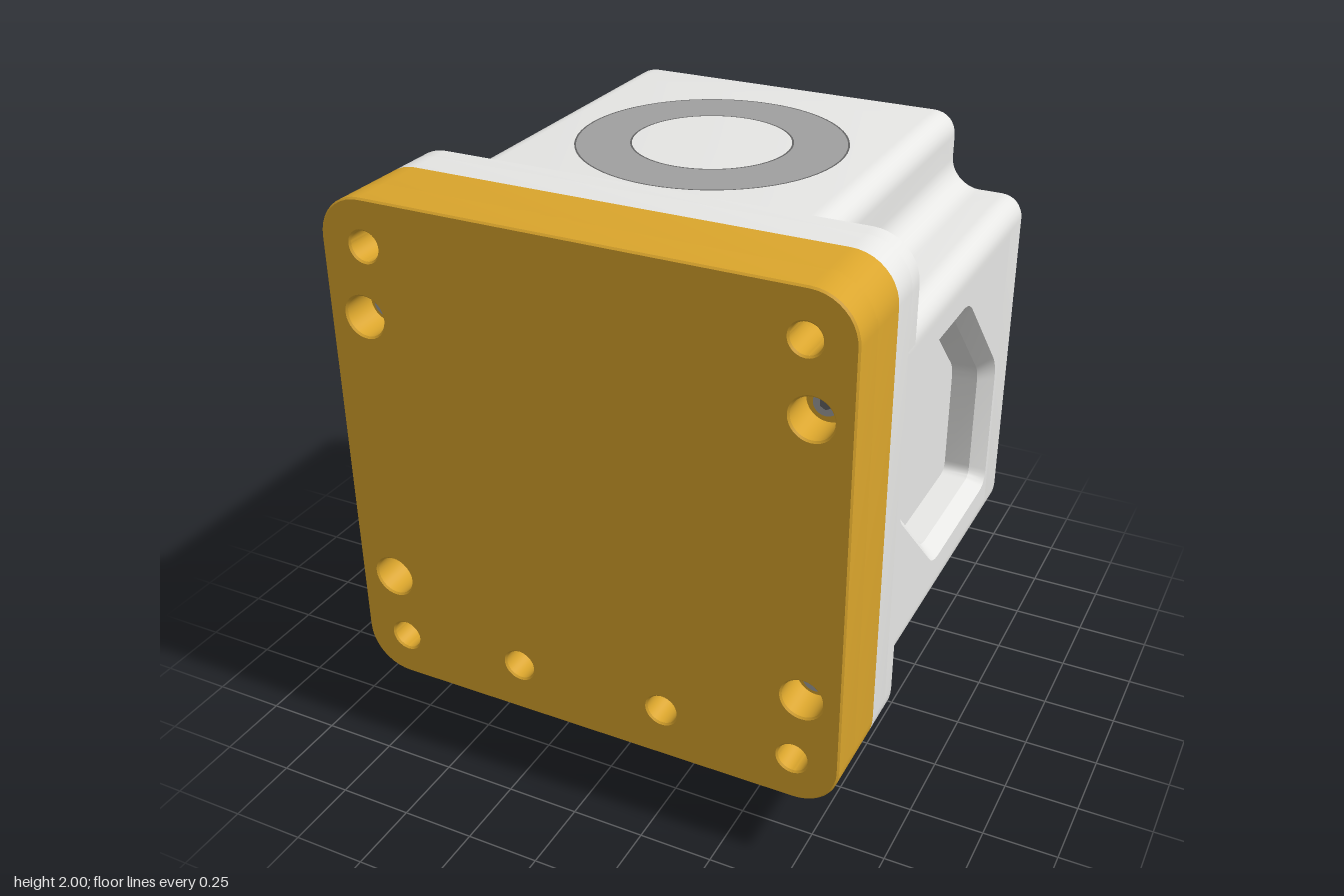
import * as THREE from 'three';
import { toCreasedNormals } from 'three/addons/utils/BufferGeometryUtils.js';

const V = (x, y) => new THREE.Vector2(x, y);
const material = (name, color, side = THREE.FrontSide) => {
  const m = new THREE.MeshStandardMaterial({ color, side });
  m.name = name;
  return m;
};

// outlines
const arc = (cx, cy, r, a0, a1, n = 8) => Array.from({ length: n + 1 }, (_, i) => {
  const a = (a0 + (a1 - a0) * i / n) * Math.PI / 180;
  return V(cx + r * Math.cos(a), cy + r * Math.sin(a));
});
const circle = (x, y, r, n = 32) => arc(x, y, r, 0, 360, n).slice(0, n);
const roundPoly = (corners, r, n = 6) => corners.flatMap((p, i) => {
  const prev = corners[(i + corners.length - 1) % corners.length], next = corners[(i + 1) % corners.length];
  const a = p.clone().add(prev.clone().sub(p).setLength(r)), b = p.clone().add(next.clone().sub(p).setLength(r));
  return new THREE.QuadraticBezierCurve(a, p, b).getPoints(n);
});
const rect = (cx, cy, w, h, r) =>
  roundPoly([V(cx - w, cy - h), V(cx + w, cy - h), V(cx + w, cy + h), V(cx - w, cy + h)], r);

// repeats one corner four times; recessed cuts shallow bays into both sides
const FLOOR = 0.735, BAY = 0.52, HALF = 0.875;
const fourCorners = (corner, recessed) => [0, 1, 2, 3].flatMap(k => {
  const bay = recessed && k % 2 === 0
    ? [V(HALF, -BAY), V(FLOOR, -BAY), V(FLOOR, BAY), V(HALF, BAY)] : [];
  const s = [0, 1, 0, -1][k], c = [1, 0, -1, 0][k];
  return [...bay, ...corner].map(p => V(p.x * c - p.y * s, p.x * s + p.y * c));
});
const squareOutline = recessed => fourCorners(arc(HALF - 0.15, HALF - 0.15, 0.15, 0, 90, 10), recessed);
const bodyOutline = (inset, recessed) => {
  const a = HALF - inset, b = 0.615 - inset, r = 0.08 - inset, R = 0.1 + inset;
  return fourCorners([
    ...arc(a - r, b - r, r, 0, 90),
    ...arc(b + R, b + R, R, 270, 180),
    ...arc(b - r, a - r, r, 0, 90),
  ], recessed);
};

// geometry helpers
const shapeOf = (pts, holes = []) => {
  const s = new THREE.Shape(pts);
  s.holes = holes.map(h => new THREE.Path(h));
  return s;
};
const extrude = (pts, z0, z1, holes = [], bevel = 0) => {
  const g = new THREE.ExtrudeGeometry(shapeOf(pts, holes), {
    depth: z1 - z0 - 2 * bevel, bevelEnabled: bevel > 0, bevelSize: bevel,
    bevelThickness: bevel, bevelOffset: -bevel, bevelSegments: bevel > 0.01 ? 4 : 1,
  });
  return toCreasedNormals(g.translate(0, 0, z0 + bevel), 0.36);
};
const loft = loops => {
  const n = loops[0].length, idx = [];
  for (let j = 0; j < loops.length - 1; j++) for (let i = 0; i < n; i++) {
    const a = j * n + i, b = j * n + (i + 1) % n;
    idx.push(a, b, b + n, a, b + n, a + n);
  }
  const g = new THREE.BufferGeometry();
  g.setAttribute('position', new THREE.Float32BufferAttribute(loops.flat().flatMap(p => [p.x, p.y, p.z]), 3));
  g.setIndex(idx);
  return toCreasedNormals(g, 0.6);
};
const at = (pts, z) => pts.map(p => new THREE.Vector3(p.x, p.y, z));

export function createModel() {
  const light = material('light grey casing', 0xe6e6e4, THREE.DoubleSide);
  const gold = material('gold plate', 0xdaa52c);
  const mid = material('mid grey metal', 0xa0a0a0);
  const charcoal = material('charcoal', 0x646464);
  const black = material('black plastic', 0x444444);

  const model = new THREE.Group();
  const cube = new THREE.Group();
  cube.name = 'cubeHousing';
  cube.position.y = 1.125;
  model.add(cube);
  const add = (name, geo, mat, parent = cube) => {
    const m = new THREE.Mesh(geo, mat);
    m.name = name;
    parent.add(m);
    return m;
  };
  // cylinder along z, centred at z
  const stud = (name, x, y, z, r, depth, mat, sides = 32) =>
    add(name, new THREE.CylinderGeometry(r, r, depth, sides).rotateX(Math.PI / 2).translate(x, y, z), mat);

  const pairs = (x, y) => [[x, y], [-x, y], [x, -y], [-x, -y]];
  const holesAt = (list, r) => list.map(([x, y]) => circle(x, y, r));
  const cornerHoles = holesAt(pairs(0.72, 0.72), 0.05);
  const plateScrews = pairs(0.745, 0.4825);
  const lowScrews = [[0.265, -0.695], [-0.265, -0.695]];

  // front plate with counterbored screws
  const lowHoles = holesAt(lowScrews, 0.052);
  add('frontPlateBase', extrude(squareOutline(), 0.58, 0.75, [...cornerHoles, ...lowHoles]), gold);
  add('frontPlate', extrude(squareOutline(), 0.735, 0.873,
    [...cornerHoles, ...lowHoles, ...holesAt(plateScrews, 0.068)], 0.006), gold);
  for (const [x, y] of [...plateScrews, ...lowScrews]) {
    stud('screwHead', x, y, 0.73, 0.04, 0.08, mid);
    stud('screwSocket', x, y, 0.768, 0.02, 0.008, charcoal, 6);
  }

  // mounting flange and ears
  add('flange', extrude(squareOutline(), 0.47, 0.58, cornerHoles), light);
  add('flangeEars', extrude(squareOutline(true), 0.41, 0.47, cornerHoles), light);

  // main body: recessed middle, rounded rear shell and pierced rear wall
  add('bodyMiddle', extrude(bodyOutline(0, true), -0.55, 0.47), light);
  const B = 0.075;
  const rounded = Array.from({ length: 7 }, (_, i) => {
    const a = i / 6 * Math.PI / 2;
    return at(bodyOutline(B * (1 - Math.sin(a))), -0.74 + B * (1 - Math.cos(a)));
  });
  add('rearShell', loft([...rounded, at(bodyOutline(0), -0.55)]), light);
  const bossHoles = holesAt(pairs(0.31, 0.31), 0.075);
  add('rearWall', extrude(bodyOutline(B), -0.74, -0.55,
    [...bossHoles, ...holesAt(lowScrews, 0.052), rect(0, -0.695, 0.135, 0.036, 0.035)]), light);
  for (const [x, y] of lowScrews) {
    stud('rearScrew', x, y, -0.68, 0.044, 0.06, mid);
    stud('rearScrewSocket', x, y, -0.71, 0.022, 0.008, charcoal, 6);
  }

  // side faces with six-cornered pockets
  const pocket = i => {
    const w = 0.49 - i, h = 0.4475 - i, s = 0.535 - 1.414 * i;
    const c = [[-w, h], [s - h, h], [w, s - w], [w, -h], [h - s, -h], [-w, w - s]];
    return roundPoly(c.map(([x, y]) => V(x + 0.035, y)), 0.06 - 0.4 * i);
  };
  const face = new THREE.ShapeGeometry(shapeOf(rect(0.04, 0, 0.51, BAY, 0.001), [pocket(0)]))
    .translate(0, 0, HALF).rotateY(Math.PI / 2);
  const walls = loft([at(pocket(0.05), FLOOR), at(pocket(0.045), HALF - 0.05), at(pocket(0), HALF)].reverse())
    .rotateY(Math.PI / 2);
  for (const side of [1, -1]) {
    add('sideFace', face, light).scale.x = side;
    add('sidePocketWalls', walls, light).scale.x = side;
  }

  // rear output boss with flared foot
  const flare = [...arc(0.65, 0.82, 0.08, 270, 180), V(0.57, 0.83)];
  add('bossFlare', new THREE.LatheGeometry(flare, 64).rotateX(-Math.PI / 2), light);
  add('boss', extrude(circle(0, 0, 0.57, 64), -0.83, -0.735,
    [circle(0, 0, 0.36, 48), ...bossHoles, rect(0, -0.495, 0.022, 0.05, 0.02)]), light);
  add('bossKey', new THREE.BoxGeometry(0.042, 0.105, 0.1).translate(0, 0.495, -0.825), light);
  stud('hubFloor', 0, 0, -0.75, 0.36, 0.02, mid, 48);
  add('hubRing', extrude(circle(0, 0, 0.345, 48), -0.815, -0.745, [circle(0, 0, 0.305, 48)]), mid);
  const hubBolts = [0, 1, 2, 3, 4, 5].map(k =>
    [0.19 * Math.sin(k * Math.PI / 3), 0.19 * Math.cos(k * Math.PI / 3)]);
  add('hub', extrude(circle(0, 0, 0.29, 48), -0.805, -0.745,
    [circle(0, 0, 0.11), ...holesAt(hubBolts, 0.026)]), mid);

  // flush ring on the top face, with fine dark seams
  const topRing = (name, r0, r1, mat) => add(name, new THREE.RingGeometry(r0, r1, 64)
    .rotateX(-Math.PI / 2).translate(0, HALF + 0.002, -0.04), mat);
  topRing('topRing', 0.265, 0.439, mid);
  topRing('topRingInnerSeam', 0.259, 0.265, charcoal);
  topRing('topRingOuterSeam', 0.439, 0.445, charcoal);

  // control box underneath
  const box = new THREE.Group();
  box.name = 'controlBox';
  model.add(box);
  const profile = roundPoly([V(-0.5, 0.3), V(-0.5, 0.055), V(0.01, 0.055), V(0.09, 0.12),
    V(0.57, 0.12), V(0.57, 0.3)], 0.045);
  add('controlBoxShell', extrude(profile, -0.45, 0.445, [], 0.035).rotateY(Math.PI / 2), black, box);
  add('controlBoxPad', extrude(rect(0, -0.325, 0.31, 0.19, 0.06), -0.15, -0.055,
    [rect(0, -0.325, 0.15, 0.08, 0.02)], 0.02).rotateX(Math.PI / 2), black, box);
  add('padWindow', new THREE.BoxGeometry(0.3, 0.008, 0.16).translate(0, 0.116, -0.325), light, box);
  add('padWindowTab', new THREE.BoxGeometry(0.14, 0.03, 0.08).translate(0.06, 0.105, -0.325), mid, box);

  // button, socket and slot below the control box
  const turned = (name, pts, x, z, mat) =>
    add(name, new THREE.LatheGeometry(pts.map(([r, y]) => V(r, y)), 40), mat, box).position.set(x, 0, z);
  turned('roundButton', [[0, 0.036], [0.1, 0.036], [0.105, 0.03], [0.125, 0.03], [0.155, 0.045], [0.155, 0.07]],
    0.205, 0.24, charcoal);
  turned('socket', [[0, 0.03], [0.05, 0.03], [0.05, 0], [0.095, 0], [0.11, 0.012], [0.11, 0.07]], -0.09, 0.235, mid);
  add('smallSlot', extrude(rect(-0.32, 0.24, 0.025, 0.07, 0.024), -0.056, -0.051)
    .rotateX(Math.PI / 2), charcoal, box);

  return model;
}
